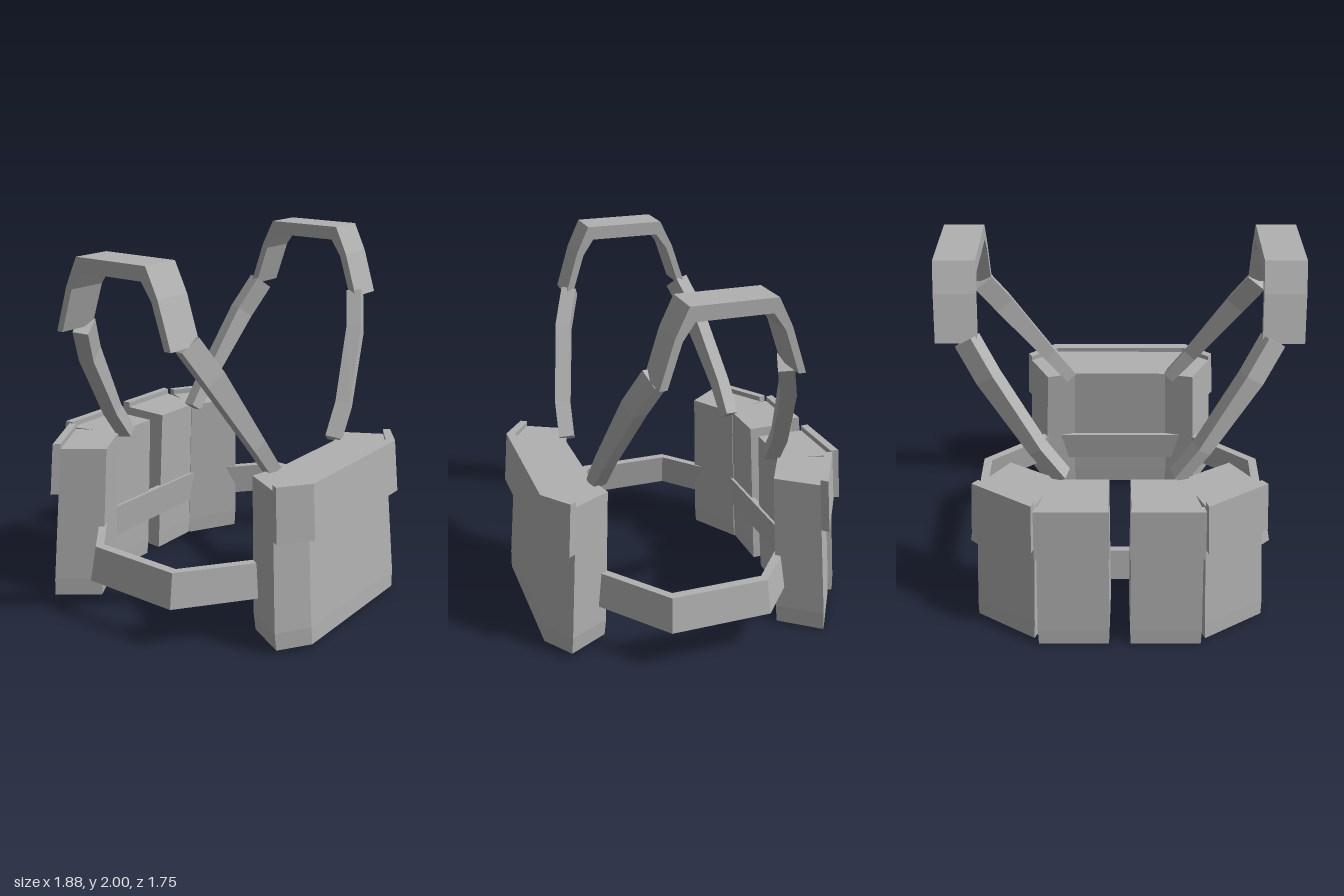
import * as THREE from 'three';

const fabric = new THREE.MeshStandardMaterial({ color: 0xb0b0b0, flatShading: true });
fabric.name = 'greyFabric';

// Skin a list of equal-sized cross-sections; closed joins last to first, otherwise ends are capped
function loft(rings, closed = false) {
  const tris = [];
  const n = rings[0].length;
  const last = closed ? rings.length : rings.length - 1;
  for (let i = 0; i < last; i++) {
    const a = rings[i], b = rings[(i + 1) % rings.length];
    for (let j = 0; j < n; j++) {
      const k = (j + 1) % n;
      tris.push([a[j], a[k], b[k]], [a[j], b[k], b[j]]);
    }
  }
  if (!closed) {
    const a = rings[0], b = rings[rings.length - 1];
    for (let j = 1; j < n - 1; j++) tris.push([a[0], a[j + 1], a[j]], [b[0], b[j], b[j + 1]]);
  }
  // Turn the faces outwards when the enclosed volume is negative
  const cross = new THREE.Vector3();
  let volume = 0;
  for (const [a, b, c] of tris) volume += cross.crossVectors(b, c).dot(a);
  const points = tris.flatMap(([a, b, c]) => (volume < 0 ? [a, c, b] : [a, b, c]));
  const geometry = new THREE.BufferGeometry().setFromPoints(points);
  geometry.computeVertexNormals();
  return geometry;
}

function mesh(name, geometry) {
  const m = new THREE.Mesh(geometry, fabric);
  m.name = name;
  return m;
}

// Leaning, tapering pouch. outline = [x, z] corners at the bottom; the first
// offsets.length corners carry the flap, pushed out by the matching offset.
function pouch(name, { outline, offsets, lean, taper, y0, side = 1 }) {
  const group = new THREE.Group();
  group.name = name;
  const cx = outline.reduce((s, p) => s + p[0], 0) / outline.length;
  const cz = outline.reduce((s, p) => s + p[1], 0) / outline.length;
  const ring = (y, inset = 1) => {
    const t = (y - y0) / (0.88 - y0);
    const s = (1 - taper * t) * inset;
    return outline.map(([x, z]) => new THREE.Vector3(
      side * (cx + (x - cx) * s + lean[0] * t), y, cz + (z - cz) * s + lean[1] * t));
  };
  group.add(mesh('pouchBody', loft([ring(y0, 0.975), ring(y0 + 0.1), ring(0.88)])));

  const low = ring(0.615), high = ring(0.91);
  const sections = offsets.map(([dx, dz], i) => {
    const d = new THREE.Vector3(side * dx, 0, dz);
    return [low[i], high[i], high[i].clone().add(d), low[i].clone().add(d)];
  });
  group.add(mesh('pouchFlap', loft(sections)));
  return group;
}

// Waist belt: eight-sided band flaring slightly towards the bottom
function belt() {
  const corners = [[0.83, 0.28], [0.83, -0.25], [0.45, -0.57], [-0.45, -0.57],
    [-0.83, -0.25], [-0.83, 0.28], [-0.45, 0.57], [0.45, 0.57]];
  const v = (x, y, z, s) => new THREE.Vector3(x * s, y, z * s);
  return mesh('waistBelt', loft(corners.map(([x, z]) => [
    v(x, 0.42, z, 0.95), v(x, 0.42, z, 1.01), v(x, 0.23, z, 1.052), v(x, 0.23, z, 0.99)]), true));
}

// Strap from a pouch up to the shoulder pad
function strap(name, sx, sz) {
  const path = [[0.305, 0.88, 0.52], [0.43, 1.05, 0.505], [0.675, 1.435, 0.42], [0.78, 1.615, 0.35]]
    .map(([x, y, z]) => new THREE.Vector3(x * sx, y, (sz > 0 ? z : 0.02 - z)));
  const widths = [0.07, 0.08, 0.115, 0.115];
  const rings = path.map((p, i) => {
    const t = path[Math.min(i + 1, 3)].clone().sub(path[Math.max(i - 1, 0)]).normalize();
    const n = new THREE.Vector3(0.34 * sx, 0, 0.94 * sz);
    n.addScaledVector(t, -n.dot(t)).normalize();
    const b = new THREE.Vector3().crossVectors(t, n).multiplyScalar(widths[i] / 2);
    n.multiplyScalar(0.042);
    return [[1, 1], [1, -1], [-1, -1], [-1, 1]].map(
      ([u, w]) => p.clone().addScaledVector(n, u).addScaledVector(b, w));
  });
  return mesh(name, loft(rings));
}

// Shoulder pad: arched band seen from the side as [z, y], given width along x
function shoulderPad(name, sx) {
  const profile = [[0.385, 1.61], [0.31, 1.85], [0.238, 2], [-0.206, 2], [-0.28, 1.85], [-0.36, 1.61],
    [-0.395, 1.61], [-0.39, 1.61]];
  const outer = profile.slice(0, 6);
  const inner = [[0.345, 1.61], [0.272, 1.835], [0.21, 1.925], [-0.18, 1.925], [-0.245, 1.835], [-0.322, 1.61]];
  const sections = outer.map(([z, y], i) => {
    const [zi, yi] = inner[i];
    return [[0.725, y, z], [0.94, y, z], [0.94, yi, zi], [0.725, yi, zi]]
      .map(([x, yy, zz]) => new THREE.Vector3(x * sx, yy, zz));
  });
  return mesh(name, loft(sections));
}

export function createModel() {
  const model = new THREE.Group();
  model.name = 'harness';

  // Large front pouch, its back curved around the body
  model.add(pouch('frontPouch', {
    outline: [[0.60, 0.76], [0.43, 0.875], [-0.43, 0.875], [-0.60, 0.76],
      [-0.48, 0.54], [-0.30, 0.585], [0.30, 0.585], [0.48, 0.54]],
    offsets: [[0.022, 0.035], [0.02, 0.048], [-0.02, 0.048], [-0.022, 0.035]],
    lean: [0, -0.055], taper: 0.08, y0: 0.025,
  }));

  // Four small pouches across the back, and the straps and pads, mirrored
  for (const [side, label] of [[1, 'left'], [-1, 'right']]) {
    model.add(pouch(label + 'InnerBackPouch', {
      outline: [[0.055, -0.87], [0.45, -0.87], [0.375, -0.58], [0.05, -0.58]],
      offsets: [[-0.006, -0.045], [0.01, -0.045]],
      lean: [-0.005, 0.055], taper: 0.06, y0: 0, side,
    }));
    model.add(pouch(label + 'OuterBackPouch', {
      outline: [[0.47, -0.83], [0.805, -0.63], [0.635, -0.415], [0.35, -0.575]],
      offsets: [[0.014, -0.042], [0.03, -0.032]],
      lean: [-0.036, 0.048], taper: 0.08, y0: 0, side,
    }));
    model.add(strap(label + 'FrontStrap', side, 1));
    model.add(strap(label + 'BackStrap', side, -1));
    model.add(shoulderPad(label + 'ShoulderPad', side));
  }
  model.add(belt());
  return model;
}
